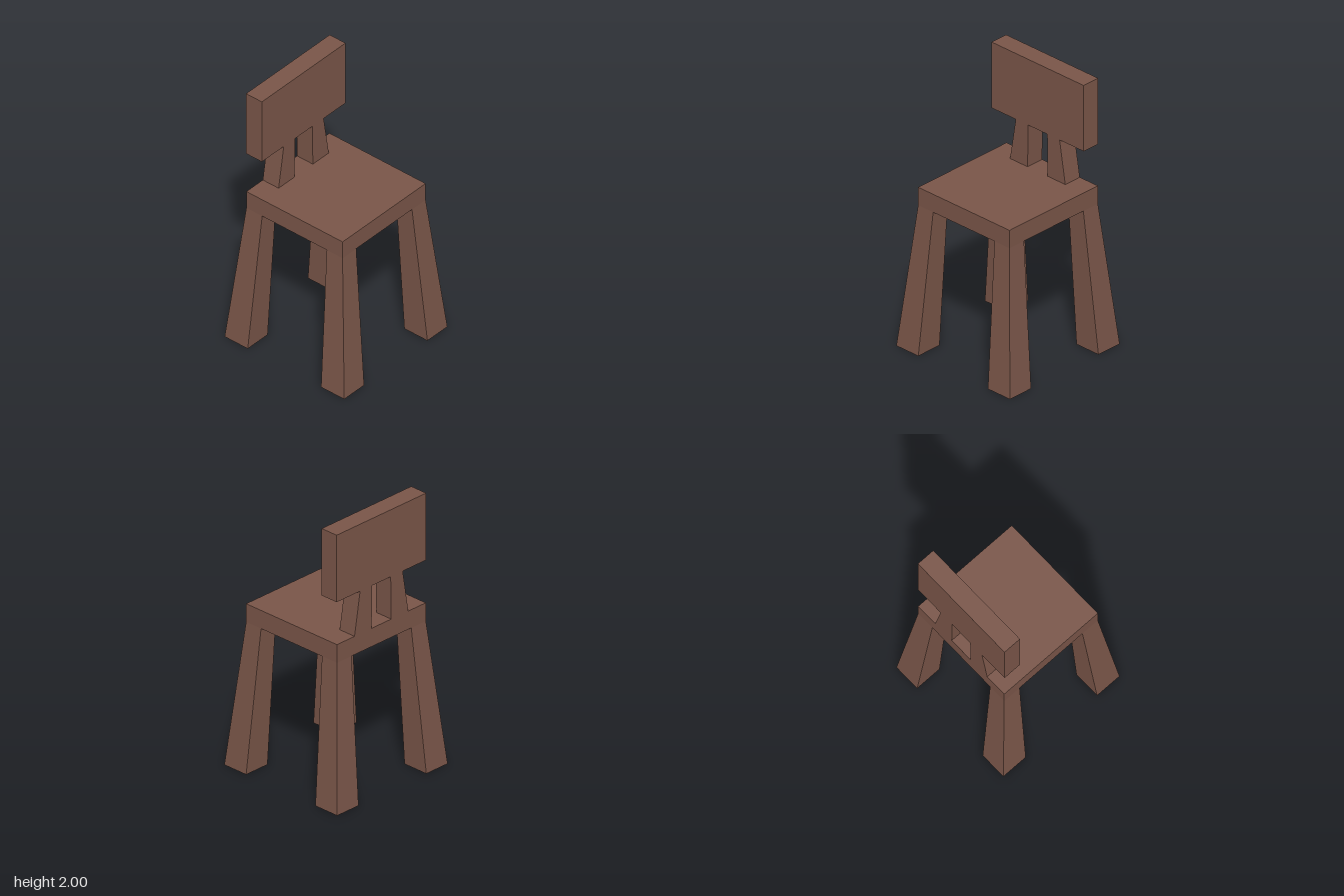
import * as THREE from 'three';

const wood = new THREE.MeshStandardMaterial({ color: 0x795548, flatShading: true });

// Six-sided block between a bottom and a top rectangle, each [x0, x1, z0, z1]
function block(name, y0, y1, bottom, top = bottom) {
  const geometry = new THREE.BoxGeometry(1, 1, 1);
  const p = geometry.attributes.position;
  for (let i = 0; i < p.count; i++) {
    const upper = p.getY(i) > 0;
    const r = upper ? top : bottom;
    p.setXYZ(i, r[p.getX(i) > 0 ? 1 : 0], upper ? y1 : y0, r[p.getZ(i) > 0 ? 3 : 2]);
  }
  geometry.computeVertexNormals();
  const mesh = new THREE.Mesh(geometry, wood);
  mesh.name = name;
  return mesh;
}

// Ordered span from inner to outer distance on the given side
const span = (side, inner, outer) => (side > 0 ? [inner, outer] : [-outer, -inner]);

export function createModel() {
  const chair = new THREE.Group();
  chair.name = 'chair';

  const half = 0.417, inner = 0.28;
  const seatBottom = 1.055, seatTop = 1.19, panelBottom = 1.505;

  // Seat and backrest panel
  chair.add(block('seat', seatBottom, seatTop, [-half, half, -half, half]));
  chair.add(block('backrestPanel', panelBottom, 2, [-0.42, 0.42, -half, -inner]));

  for (const sx of [1, -1]) {
    const side = sx > 0 ? 'left' : 'right';

    // Splayed legs, wider at the foot
    for (const sz of [1, -1]) {
      chair.add(block(`${side}${sz > 0 ? 'Front' : 'Back'}Leg`, 0, seatBottom,
        [...span(sx, 0.318, 0.518), ...span(sz, 0.318, 0.518)],
        [...span(sx, inner, half), ...span(sz, inner, half)]));
    }

    // Tapered supports under the backrest
    chair.add(block(`${side}BackrestSupport`, seatTop, panelBottom,
      [...span(sx, 0.092, 0.252), -half, -inner],
      [...span(sx, 0.087, 0.2), -half, -inner]));
  }
  return chair;
}
